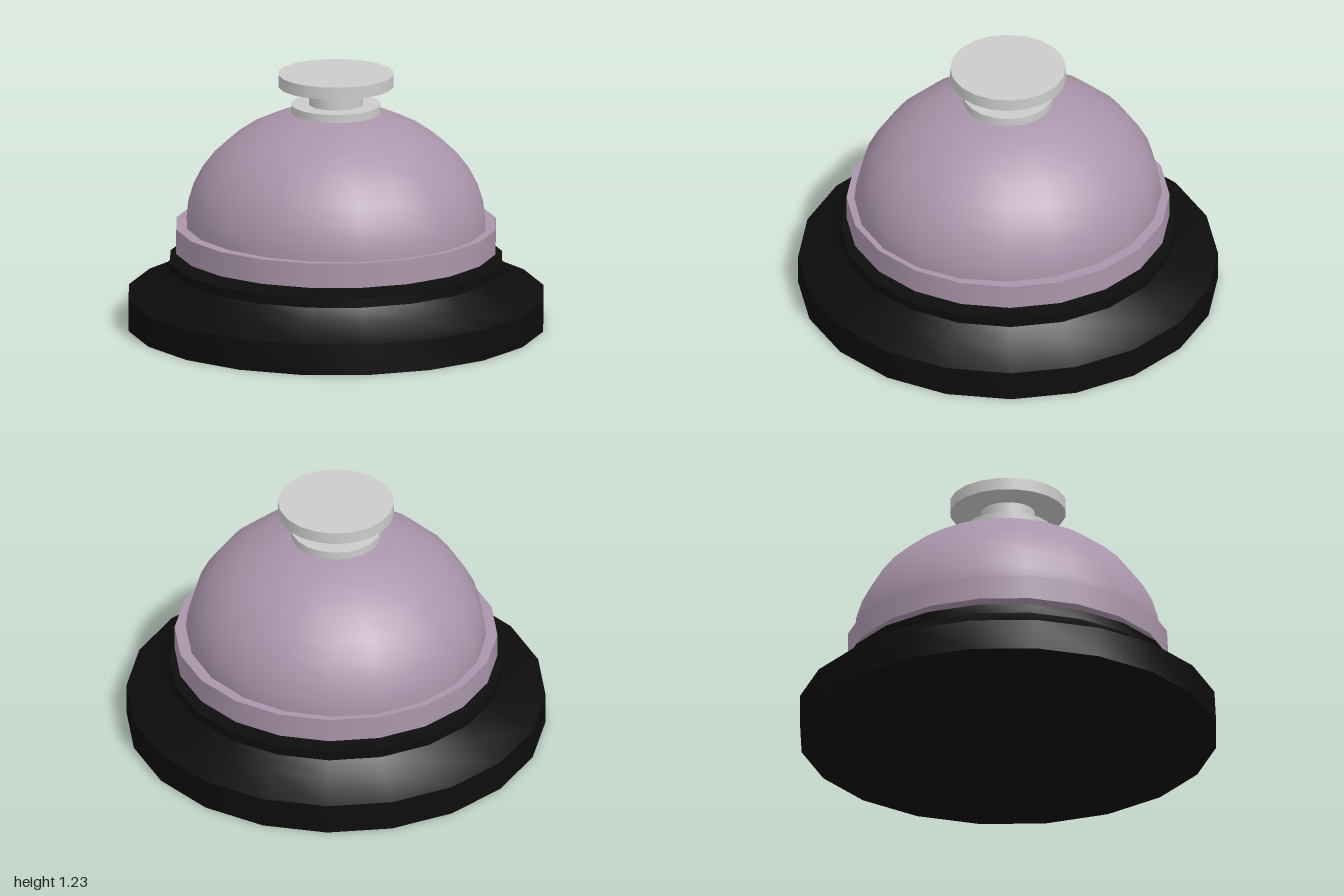
import * as THREE from 'three';
import { toCreasedNormals } from 'three/addons/utils/BufferGeometryUtils.js';

const SIDES = 20;

export function createModel() {
  const model = new THREE.Group();
  model.name = 'deskBell';

  const black = new THREE.MeshStandardMaterial({ color: 0x0d0d0d });
  const mauve = new THREE.MeshStandardMaterial({ color: 0xaa95ab });
  const grey = new THREE.MeshStandardMaterial({ color: 0xcccccc });

  const add = (name, geometry, material, parent = model) => {
    const mesh = new THREE.Mesh(geometry, material);
    mesh.name = name;
    parent.add(mesh);
    return mesh;
  };

  // Upright disc between two heights
  const disc = (name, radius, y0, y1, material, parent) => {
    const geometry = new THREE.CylinderGeometry(radius, radius, y1 - y0, SIDES);
    add(name, geometry.translate(0, (y0 + y1) / 2, 0), material, parent);
  };

  // Stepped foot with a sloping shoulder and a neck under the bell
  const profile = [
    [0, 0], [1, 0], [1, 0.15], [0.86, 0.215], [0.8, 0.28],
    [0.8, 0.325], [0.615, 0.325], [0.615, 0.38], [0, 0.38],
  ].map(([r, y]) => new THREE.Vector2(r, y));
  add('base', toCreasedNormals(new THREE.LatheGeometry(profile, SIDES), Math.PI / 5), black);

  // Bell: flat rim band and a slightly oval dome
  const bell = new THREE.Group();
  bell.name = 'bell';
  model.add(bell);
  disc('bellRim', 0.77, 0.37, 0.49, mauve, bell);
  const dome = new THREE.SphereGeometry(1, SIDES, 10, 0, Math.PI * 2, 0, Math.PI / 2);
  add('bellDome', dome.scale(0.715, 0.58, 0.743).translate(0, 0.48, 0), mauve, bell);

  // Push button: collar, stem and cap
  const button = new THREE.Group();
  button.name = 'button';
  model.add(button);
  disc('buttonCollar', 0.215, 1.04, 1.08, grey, button);
  disc('buttonStem', 0.13, 1.08, 1.17, grey, button);
  disc('buttonCap', 0.277, 1.17, 1.23, grey, button);

  return model;
}
